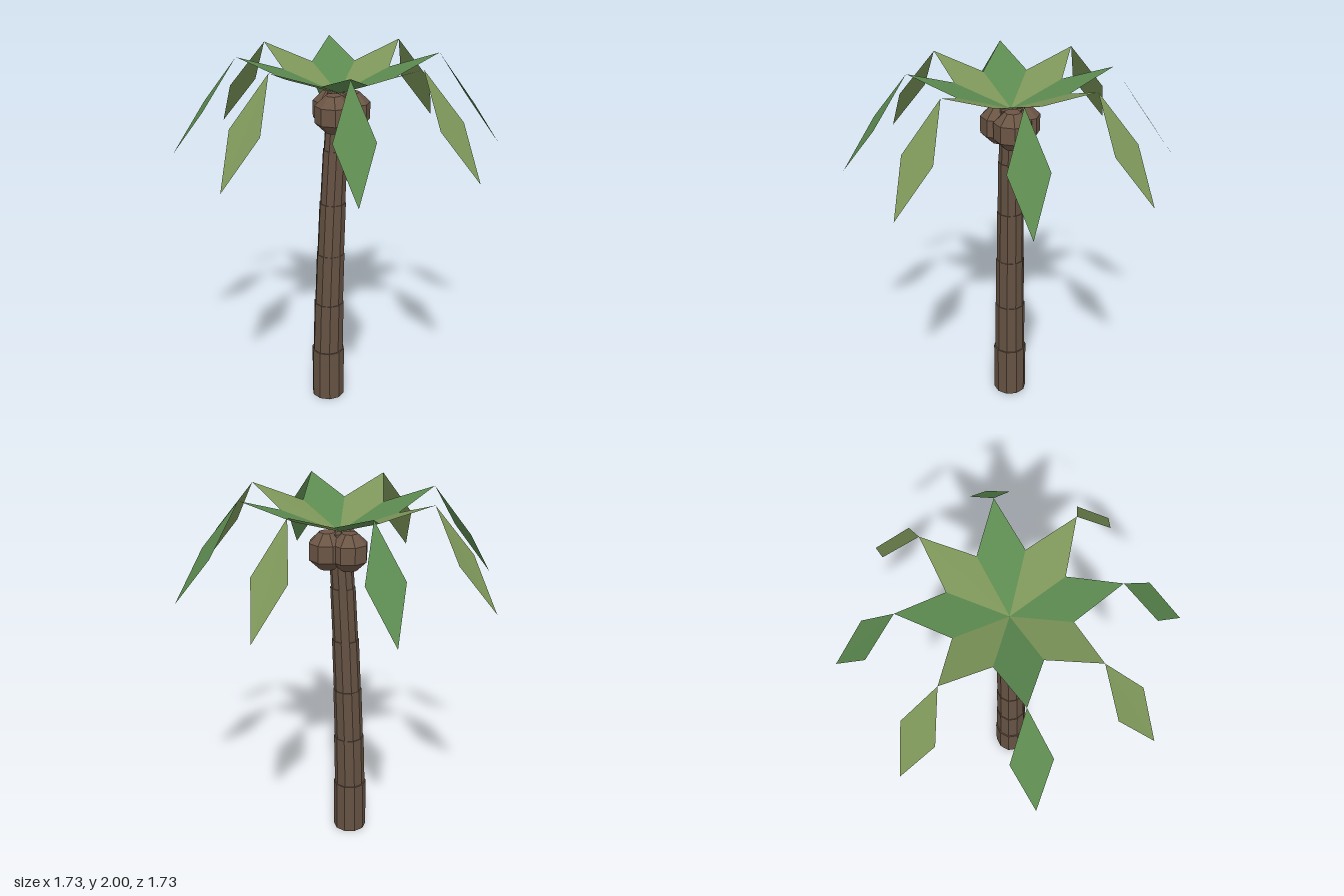
import * as THREE from 'three';

const paint = (color, side = THREE.FrontSide) =>
  new THREE.MeshStandardMaterial({ color, side, flatShading: true });

// Flat diamond running outward along +z: root, widest point and tip given as [z, y]
function diamond(root, middle, halfWidth, tip) {
  const g = new THREE.BufferGeometry();
  g.setAttribute('position', new THREE.Float32BufferAttribute([
    0, root[1], root[0],
    halfWidth, middle[1], middle[0],
    0, tip[1], tip[0],
    -halfWidth, middle[1], middle[0],
  ], 3));
  // wound so that the upper side is the front
  g.setIndex([0, 2, 1, 0, 3, 2]);
  g.computeVertexNormals();
  return g;
}

export function createModel() {
  const model = new THREE.Group();
  model.name = 'palmTree';

  // Trunk: stacked ten-sided sections, sheared along a gentle lean
  const bark = paint(0x655243);
  const trunk = new THREE.Group();
  trunk.name = 'trunk';
  const centres = [-0.0625, -0.062, -0.055, -0.045, -0.033, -0.018, 0];
  const radii = [0.093, 0.086, 0.08, 0.075, 0.069, 0.063];
  const step = 0.3;
  radii.forEach((r, i) => {
    const g = new THREE.CylinderGeometry(r - (i ? 0.002 : 0), r, step, 10);
    const p = g.attributes.position;
    for (let k = 0; k < p.count; k++) {
      p.setX(k, p.getX(k) + (p.getY(k) > 0 ? centres[i + 1] : centres[i]));
    }
    g.computeVertexNormals();
    const section = new THREE.Mesh(g, bark);
    section.name = 'trunkSection';
    section.position.y = step * (i + 0.5);
    trunk.add(section);
  });
  model.add(trunk);

  // Three faceted coconuts around the top of the trunk
  const nutProfile = [[0, -0.098], [0.042, -0.098], [0.098, -0.045], [0.098, 0.045], [0.042, 0.098], [0, 0.098]]
    .map(([x, y]) => new THREE.Vector2(x, y));
  const nutGeometry = new THREE.LatheGeometry(nutProfile, 8);
  const shell = paint(0x6b5545);
  for (let i = 0; i < 3; i++) {
    const a = (i * Math.PI * 2) / 3;
    const nut = new THREE.Mesh(nutGeometry, shell);
    nut.name = 'coconut';
    nut.position.set(0.067 * Math.cos(a), 1.708, 0.067 * Math.sin(a));
    model.add(nut);
  }

  // Eight fronds: a rising inner blade and a drooping outer blade, in two greens
  const greens = [paint(0x5c8a50, THREE.DoubleSide), paint(0x7d9659, THREE.DoubleSide)];
  const inner = diamond([0, 1.8], [0.279, 1.907], 0.1156, [0.52, 2]);
  const outer = diamond([0.52, 2], [0.695, 1.75], 0.101, [0.867, 1.5]);
  for (let i = 0; i < 8; i++) {
    const frond = new THREE.Group();
    frond.name = 'frond';
    const innerBlade = new THREE.Mesh(inner, greens[i % 2]);
    innerBlade.name = 'innerBlade';
    const outerBlade = new THREE.Mesh(outer, greens[i % 2]);
    outerBlade.name = 'outerBlade';
    frond.add(innerBlade, outerBlade);
    frond.rotation.y = (i * Math.PI) / 4;
    model.add(frond);
  }
  return model;
}
